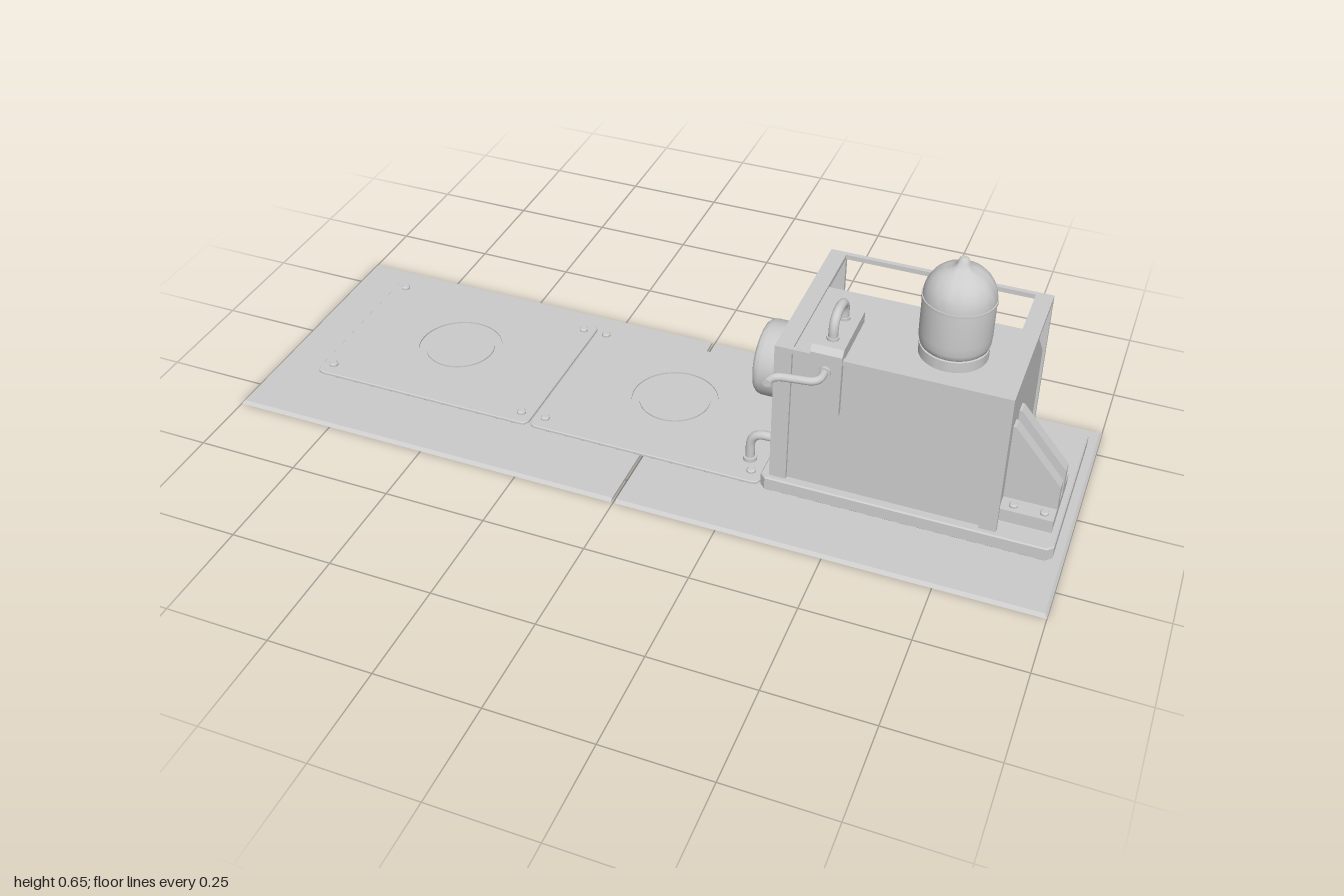
import * as THREE from 'three';
import { toCreasedNormals } from 'three/addons/utils/BufferGeometryUtils.js';

const mat = new THREE.MeshStandardMaterial({ color: 0xcccccc });
const V = (x, y, z) => new THREE.Vector3(x, y, z);

export function createModel() {
  const model = new THREE.Group();

  const add = (name, geo, x = 0, y = 0, z = 0) => {
    const mesh = new THREE.Mesh(geo, mat);
    mesh.name = name;
    mesh.position.set(x, y, z);
    model.add(mesh);
    return mesh;
  };
  const box = (name, x0, x1, y0, y1, z0, z1) =>
    add(name, new THREE.BoxGeometry(x1 - x0, y1 - y0, z1 - z0), (x0 + x1) / 2, (y0 + y1) / 2, (z0 + z1) / 2);

  // Flat slab with cut or rounded corners and a small bevel
  const slab = (name, x0, x1, y0, y1, z0, z1, r, bevel, steps) => {
    const w = (x1 - x0) / 2 - bevel, d = (z1 - z0) / 2 - bevel;
    const s = new THREE.Shape();
    s.moveTo(-w + r, -d);
    s.lineTo(w - r, -d); s.quadraticCurveTo(w, -d, w, -d + r);
    s.lineTo(w, d - r); s.quadraticCurveTo(w, d, w - r, d);
    s.lineTo(-w + r, d); s.quadraticCurveTo(-w, d, -w, d - r);
    s.lineTo(-w, -d + r); s.quadraticCurveTo(-w, -d, -w + r, -d);
    const g = new THREE.ExtrudeGeometry(s, {
      depth: y1 - y0 - 2 * bevel, bevelEnabled: true, bevelThickness: bevel,
      bevelSize: bevel, bevelSegments: 1, curveSegments: steps });
    g.rotateX(-Math.PI / 2);
    return add(name, g, (x0 + x1) / 2, y0 + bevel, (z0 + z1) / 2);
  };

  // Side profile given as [z, y] points, extruded along x
  const profile = (name, points, x0, x1) => {
    const s = new THREE.Shape(points.map(([z, y]) => new THREE.Vector2(-z, y)));
    const g = new THREE.ExtrudeGeometry(s, { depth: x1 - x0, bevelEnabled: false });
    g.rotateY(Math.PI / 2);
    return add(name, g, x0, 0, 0);
  };
  const lathe = (points, segments = 48) => toCreasedNormals(
    new THREE.LatheGeometry(points.map(([r, y]) => new THREE.Vector2(r, y)), segments), 0.6);
  const bolt = (name, x, y, z, r = 0.011, h = 0.008) =>
    add(name, lathe([[r, 0], [r, h * 0.6], [r * 0.7, h], [0, h]], 16), x, y, z);

  // Pipe through points, with rounded elbows of the given radius
  const pipe = (name, pts, bend, r) => {
    const path = new THREE.CurvePath();
    let from = pts[0];
    for (let i = 1; i < pts.length - 1; i++) {
      const a = pts[i].clone().add(pts[i - 1].clone().sub(pts[i]).setLength(bend));
      const b = pts[i].clone().add(pts[i + 1].clone().sub(pts[i]).setLength(bend));
      path.add(new THREE.LineCurve3(from, a));
      path.add(new THREE.QuadraticBezierCurve3(a, pts[i], b));
      from = b;
    }
    path.add(new THREE.LineCurve3(from, pts[pts.length - 1]));
    return add(name, new THREE.TubeGeometry(path, 64, r, 16));
  };

  // Two thin floor plates with sloped edges and a gap between them
  for (const side of [-1, 1]) {
    const g = new THREE.BoxGeometry(0.995, 0.007, 0.67);
    const p = g.attributes.position;
    for (let i = 0; i < p.count; i++) {
      if (p.getY(i) < 0) continue;
      p.setZ(i, p.getZ(i) - Math.sign(p.getZ(i)) * 0.008);
      if (p.getX(i) * side > 0) p.setX(i, p.getX(i) - side * 0.006);
    }
    g.computeVertexNormals();
    add('floorPlate', g, side * 0.5025, 0.0035, 0);
  }

  // Cover panels with raised rings and corner bolts
  for (const [x0, x1] of [[-0.89, -0.302], [-0.298, 0.293]]) {
    slab('coverPanel', x0, x1, 0.006, 0.015, -0.28, 0.163, 0.02, 0.002, 6);
    add('coverRing', lathe([[0.088, 0], [0.088, 0.004], [0.107, 0.004], [0.107, 0]], 48),
      (x0 + x1) / 2, 0.015, -0.06);
    for (const x of [x0 + 0.03, x1 - 0.03])
      for (const z of [-0.247, 0.127]) bolt('coverBolt', x, 0.015, z);
  }

  // Plinth under the cabinet
  slab('plinth', 0.295, 0.975, 0.006, 0.042, -0.277, 0.168, 0.012, 0.003, 1);

  // Cabinet with a sloped upper rear edge
  profile('cabinet', [[0.146, 0.042], [0.146, 0.404], [-0.117, 0.404], [-0.117, 0.398],
    [-0.252, 0.263], [-0.252, 0.042]], 0.321, 0.839);

  // Flat-bar end frames and long top rails
  for (const x of [0.315, 0.805]) {
    for (const z of [-0.265, 0.143]) box('framePost', x, x + 0.04, 0.042, 0.398, z, z + 0.012);
    box('frameTopBar', x, x + 0.04, 0.398, 0.41, -0.265, 0.155);
  }
  box('rearRail', 0.355, 0.805, 0.398, 0.41, -0.265, -0.253);
  box('frontRail', 0.355, 0.805, 0.398, 0.41, 0.143, 0.155);

  // Domed pressure vessel on the roof
  const vessel = new THREE.Group();
  vessel.name = 'vessel';
  const foot = add('vesselFoot', lathe([[0.077, 0.4], [0.077, 0.43], [0.07, 0.432]]));
  const tank = add('vesselTank', lathe([[0.07, 0.428], [0.076, 0.434], [0.079, 0.446], [0.08, 0.465],
    [0.08, 0.55], [0.078, 0.568], [0.073, 0.584], [0.064, 0.599], [0.052, 0.611], [0.038, 0.62],
    [0.026, 0.625], [0.019, 0.63], [0.014, 0.638], [0.01, 0.647], [0.006, 0.651], [0, 0.652]]));
  const band = add('vesselBand', lathe([[0.079, 0.547], [0.082, 0.547], [0.082, 0.554], [0.079, 0.554]]));
  vessel.add(foot, tank, band);
  vessel.position.set(0.682, 0, 0.025);
  model.add(vessel);

  // Round motor housing on an octagonal flange
  const flange = new THREE.CylinderGeometry(0.121, 0.121, 0.022, 8, 1).toNonIndexed();
  flange.computeVertexNormals();
  flange.rotateY(Math.PI / 8);
  flange.rotateZ(Math.PI / 2);
  add('motorFlange', flange, 0.309, 0.218, -0.06);
  const motor = lathe([[0.092, 0], [0.092, 0.07], [0.089, 0.079], [0.083, 0.085], [0.074, 0.088], [0, 0.088]]);
  motor.rotateZ(Math.PI / 2);
  add('motorHousing', motor, 0.308, 0.213, -0.06);

  // Drain pipe from the cabinet down to the cover panel
  pipe('drainPipe', [V(0.33, 0.095, 0.085), V(0.245, 0.095, 0.085), V(0.245, 0.015, 0.085)], 0.04, 0.011);
  add('drainFlange', new THREE.CylinderGeometry(0.017, 0.017, 0.01, 24), 0.245, 0.02, 0.085);

  // Lifting fitting that folds over the front top edge
  profile('liftingBracket', [[0.16, 0.262], [0.16, 0.42], [0.147, 0.433], [-0.012, 0.433],
    [-0.012, 0.404], [0.146, 0.404], [0.146, 0.262]], 0.397, 0.47);
  pipe('liftingLoop', [V(0.434, 0.425, 0.114), V(0.434, 0.489, 0.114),
    V(0.434, 0.489, 0.03), V(0.434, 0.425, 0.03)], 0.04, 0.011);
  for (const z of [0.03, 0.114])
    add('loopCollar', new THREE.CylinderGeometry(0.014, 0.014, 0.008, 20), 0.434, 0.436, z);

  // Outlet spout on the front
  pipe('spout', [V(0.433, 0.376, 0.15), V(0.433, 0.376, 0.203), V(0.33, 0.376, 0.217),
    V(0.33, 0.376, 0.246)], 0.026, 0.0095);
  for (const [name, r, h, x, z] of [['spoutFlange', 0.014, 0.009, 0.433, 0.163], ['spoutEnd', 0.0098, 0.006, 0.33, 0.245]])
    add(name, new THREE.CylinderGeometry(r, r, h, 24).rotateX(Math.PI / 2), x, 0.376, z);

  // Bolted bracket with two sloping ribs
  box('bracketFoot', 0.838, 0.96, 0.042, 0.075, -0.068, 0.112);
  const rib = new THREE.Shape([[0.838, 0.07], [0.96, 0.07], [0.96, 0.137], [0.845, 0.274], [0.838, 0.274]]
    .map(([x, y]) => new THREE.Vector2(x, y)));
  for (const z of [-0.023, 0.039])
    add('bracketRib', new THREE.ExtrudeGeometry(rib, { depth: 0.029, bevelEnabled: false }), 0, 0, z);
  for (const x of [0.867, 0.936])
    for (const z of [-0.045, 0.092]) bolt('bracketBolt', x, 0.075, z, 0.01, 0.008);

  return model;
}
